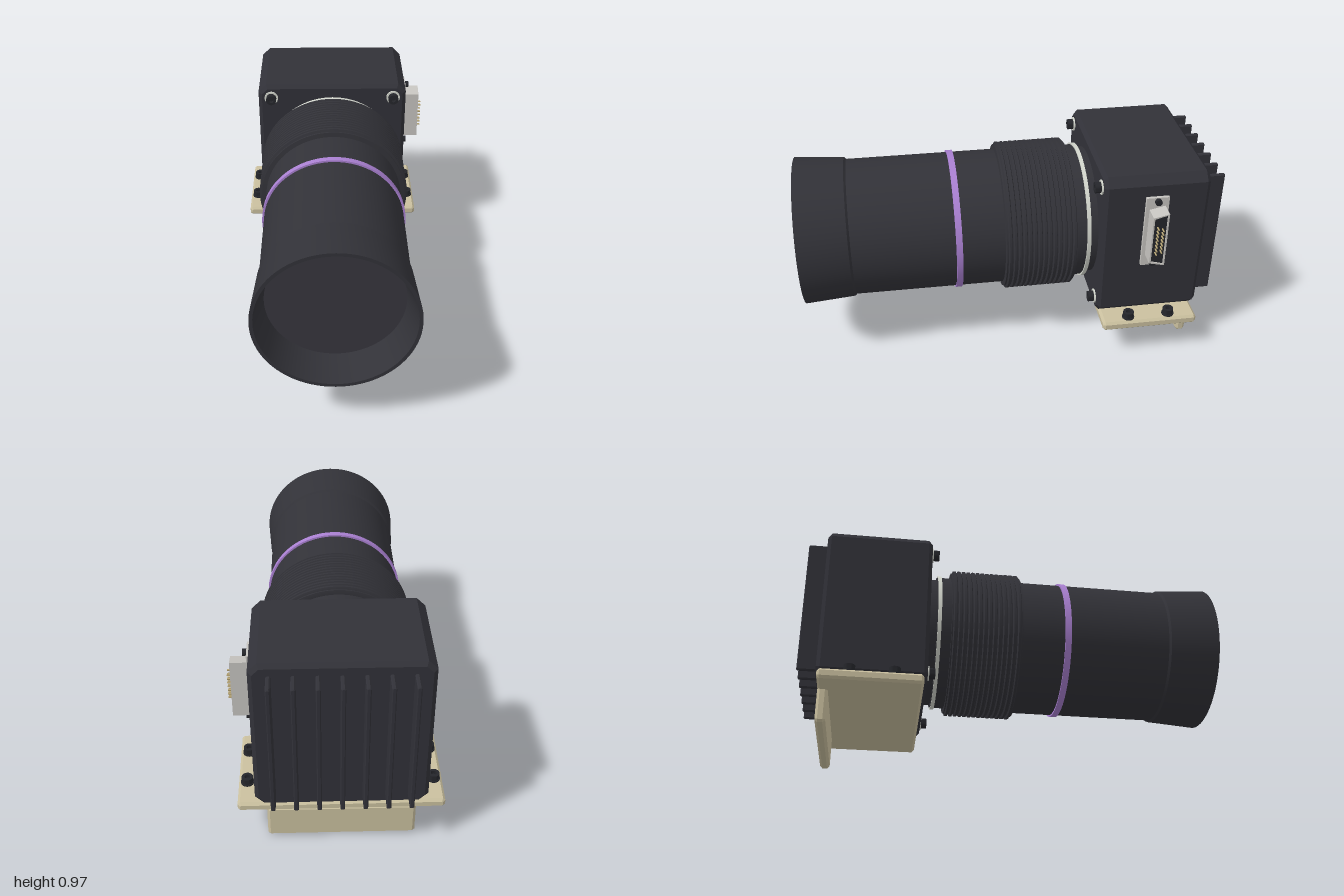
import * as THREE from 'three';
import { toCreasedNormals } from 'three/addons/utils/BufferGeometryUtils.js';

const AX = -0.012, AY = 0.583; // lens axis

function material(name, color, side = THREE.FrontSide) {
  const m = new THREE.MeshStandardMaterial({ color, side });
  m.name = name;
  return m;
}

// Box with chamfered edges: bevel runs round both z faces, corner cuts the four z edges
function chamferBox(w, h, d, bevel, corner) {
  const a = w / 2 - bevel, b = h / 2 - bevel, c = corner;
  const shape = new THREE.Shape([
    [-a + c, -b], [a - c, -b], [a, -b + c], [a, b - c],
    [a - c, b], [-a + c, b], [-a, b - c], [-a, -b + c],
  ].map(([x, y]) => new THREE.Vector2(x, y)));
  const geo = new THREE.ExtrudeGeometry(shape, {
    depth: d - 2 * bevel, bevelEnabled: true, bevelSize: bevel, bevelThickness: bevel, bevelSegments: 1,
  });
  return geo.translate(0, 0, -d / 2 + bevel);
}

// Turned part along z from [radius, z] points, listed back to front
function turned(points) {
  const geo = new THREE.LatheGeometry(points.map(([r, z]) => new THREE.Vector2(r, z)), 80);
  return toCreasedNormals(geo.rotateX(Math.PI / 2), 0.4).translate(AX, AY, 0);
}

export function createModel() {
  const model = new THREE.Group();
  model.name = 'industrialCamera';
  const body = material('bodyCharcoal', 0x313138);
  const lens = material('lensCharcoal', 0x323238);
  const glass = material('glassGrey', 0x37363e);
  const black = material('screwBlack', 0x25262b);
  const silver = material('silver', 0xc6c4c0);
  const pale = material('paleSteel', 0xd2d5cc);
  const purple = material('purple', 0xaa80d2);
  const tan = material('bracketTan', 0xcac09f);
  const gold = material('pinGold', 0xb8a676);

  const add = (name, geo, mat, x = 0, y = 0, z = 0, parent = model) => {
    const mesh = new THREE.Mesh(geo, mat);
    mesh.name = name;
    mesh.position.set(x, y, z);
    parent.add(mesh);
    return mesh;
  };

  // Camera housing and rear cooling fins
  add('housing', chamferBox(0.765, 0.765, 0.5, 0.018, 0.03), body, AX, AY, -0.66);
  for (let i = 0; i < 7; i++) {
    add('coolingFin', chamferBox(0.02, 0.66, 0.1, 0.004, 0.003), body, AX + (i - 3) * 0.0995, AY, -0.95);
  }

  // Lens barrel with flared hood and hollow front
  add('lensBarrel', turned([
    [0.315, -0.41], [0.315, -0.375], [0.328, -0.375], [0.328, -0.3], [0.332, -0.3], [0.332, 0.755],
    [0.341, 0.765], [0.358, 1], [0.342, 1], [0.303, 0.85],
  ]), lens);
  add('frontGlass', new THREE.CircleGeometry(0.305, 80), glass, AX, AY, 0.851);
  add('purpleRing', turned([[0.33, 0.24], [0.341, 0.24], [0.341, 0.27], [0.33, 0.27]]), purple);
  add('mountRing', turned([[0.31, -0.372], [0.336, -0.372], [0.336, -0.354], [0.31, -0.354]]), pale);

  // Ribbed focus ring
  const ribs = [[0.33, -0.306], [0.354, -0.306]];
  const count = 14, pitch = 0.33 / count;
  for (let i = 0; i < count; i++) {
    const z = -0.3 + i * pitch;
    ribs.push([0.354, z], [0.366, z + pitch * 0.2], [0.366, z + pitch * 0.65], [0.354, z + pitch * 0.85]);
  }
  ribs.push([0.354, 0.034], [0.33, 0.038]);
  add('focusRing', turned(ribs), lens);

  // Socket screw with washer, standing along +y
  const screw = (name, r, h, washerMat, washerR) => {
    const g = new THREE.Group();
    g.name = name;
    add('washer', new THREE.CylinderGeometry(washerR, washerR, 0.008, 24), washerMat, 0, 0.004, 0, g);
    const socket = new THREE.Path().absarc(0, 0, r * 0.5, 0, Math.PI * 2);
    const head = new THREE.Shape().absarc(0, 0, r, 0, Math.PI * 2);
    head.holes.push(socket);
    const geo = new THREE.ExtrudeGeometry(head, { depth: h, bevelEnabled: false, curveSegments: 10 });
    add('screwHead', toCreasedNormals(geo.rotateX(-Math.PI / 2), 0.7), black, 0, 0, 0, g);
    add('socketFloor', new THREE.CylinderGeometry(r * 0.55, r * 0.55, h * 0.5, 6), black, 0, h * 0.25, 0, g);
    model.add(g);
    return g;
  };

  // Front corner screws
  for (const sx of [-1, 1]) for (const sy of [-1, 1]) {
    const s = screw('cornerScrew', 0.026, 0.036, pale, 0.035);
    s.position.set(AX + sx * 0.316, AY + sy * 0.316, -0.411);
    s.rotation.x = Math.PI / 2;
  }

  // L-shaped mounting bracket and its screws
  add('bracketPlate', chamferBox(0.925, 0.047, 0.47, 0.012, 0.004), tan, AX, 0.177, -0.663);
  add('bracketFlange', chamferBox(0.665, 0.17, 0.047, 0.012, 0.004), tan, AX, 0.085, -0.874);
  for (const sx of [-1, 1]) for (const z of [-0.56, -0.76]) {
    screw('bracketScrew', 0.026, 0.035, black, 0.03).position.set(AX + sx * 0.423, 0.2, z);
  }

  // Side connector: flange, D-shaped shell, dark insert and two rows of pins
  const connector = new THREE.Group();
  connector.name = 'connector';
  connector.position.set(0.37, 0.682, -0.657);
  model.add(connector);
  add('connectorFlange', new THREE.BoxGeometry(0.016, 0.375, 0.108), silver, 0.008, 0, 0, connector);
  const dOutline = (C, k) => new C([
    [-0.037 + k, -0.126 + k], [0.037 - k, -0.143 + k], [0.037 - k, 0.143 - k], [-0.037 + k, 0.126 - k],
  ].map(([x, y]) => new THREE.Vector2(x, y)));
  const shell = dOutline(THREE.Shape, 0);
  shell.holes.push(dOutline(THREE.Path, 0.007));
  const extrudeOut = (shape, depth) =>
    new THREE.ExtrudeGeometry(shape, { depth, bevelEnabled: false }).rotateY(Math.PI / 2).scale(1, 1, 1);
  const shellMesh = add('connectorShell', extrudeOut(shell, 0.076), silver, 0.014, 0, 0, connector);
  add('connectorInsert', extrudeOut(dOutline(THREE.Shape, 0.006), 0.068), black, 0.014, 0, 0, connector);
  shellMesh.castShadow = false;
  const pin = new THREE.CylinderGeometry(0.004, 0.004, 0.03, 8).rotateZ(Math.PI / 2);
  for (const [row, n] of [[0.012, 8], [-0.012, 7]]) {
    for (let i = 0; i < n; i++) add('pin', pin, gold, 0.091, (i - (n - 1) / 2) * 0.02, row, connector);
  }
  for (const s of [-1, 1]) {
    add('connectorScrew', new THREE.CylinderGeometry(0.016, 0.016, 0.02, 12).rotateZ(Math.PI / 2),
      black, 0.024, s * 0.17, 0, connector);
  }

  return model;
}
